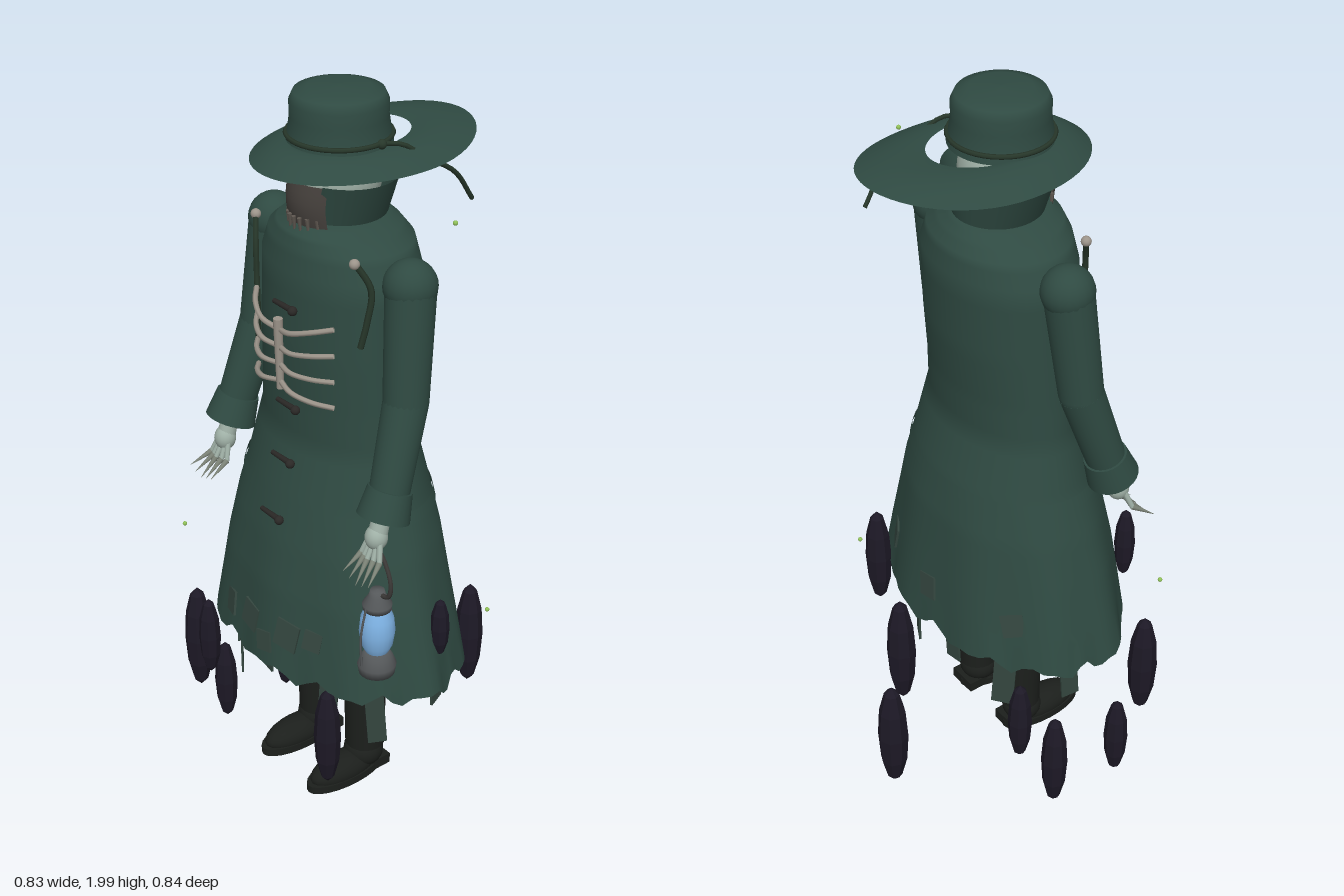
import * as THREE from 'three';
import { ParametricGeometry } from 'three/addons/geometries/ParametricGeometry.js';

const V = (x, y, z) => new THREE.Vector3(x, y, z);
const UP = V(0, 1, 0);
const mats = {};
function mat(color, flat = false) {
  const key = color + (flat ? 'f' : '');
  return mats[key] ??= new THREE.MeshStandardMaterial({ color, flatShading: flat, side: THREE.DoubleSide });
}
const CLOTH = 0x2f4a42, RAG = 0x34463f, DARK = 0x1c1f1c, BONE = 0x9c948a, SKIN = 0x9fb0a6;
const ROPE = 0x27372a, METAL = 0x55585a, SHADE = 0x1d1926, TOGGLE = 0x2a2826;

// Coat cross-sections from neck to hem: y, half width, half depth, centre z
const ROWS = [
  [1.70, 0.08, 0.09, 0.03], [1.69, 0.11, 0.125, 0.035], [1.67, 0.16, 0.145, 0.035], [1.64, 0.2, 0.16, 0.03],
  [1.58, 0.225, 0.17, 0.03], [1.4, 0.23, 0.168, 0.035], [1.25, 0.235, 0.158, 0.04], [1.15, 0.24, 0.155, 0.042],
  [1.0, 0.275, 0.195, 0.042], [0.88, 0.315, 0.22, 0.045], [0.75, 0.35, 0.238, 0.05], [0.62, 0.382, 0.252, 0.05],
  [0.5, 0.41, 0.265, 0.05],
];
function section(t) {
  const i = Math.min(Math.floor(t), ROWS.length - 2), f = t - i;
  return ROWS[i].map((a, k) => THREE.MathUtils.lerp(a, ROWS[i + 1][k], f));
}
// Point on the coat at angle a (0 = left, PI/2 = front)
function coatPoint(a, t, grow = 0) {
  const [y, rx, rz, cz] = section(t);
  const low = Math.max(0, (t - 8) / 4);
  const k = 1 + 0.022 * low * Math.sin(a * 9 + 1);
  const hem = t > 11 ? (t - 11) * (0.012 * Math.sin(a * 14) + 0.01 * Math.sin(a * 23 + 2)) : 0;
  return V(Math.cos(a) * (rx * k + grow), y + hem, cz + Math.sin(a) * (rz * k + grow));
}
function coatAt(a, y, grow) {
  let i = 0;
  while (i < ROWS.length - 2 && ROWS[i + 1][0] > y) i++;
  return coatPoint(a, i + (ROWS[i][0] - y) / (ROWS[i][0] - ROWS[i + 1][0]), grow);
}

export function createModel() {
  const root = new THREE.Group();
  root.name = 'hattedFigure';
  function add(name, geo, color, pos, parent = root, flat = false) {
    const m = new THREE.Mesh(geo, mat(color, flat));
    m.name = name;
    if (pos) m.position.copy(pos);
    parent.add(m);
    return m;
  }
  function group(name) {
    const g = new THREE.Group();
    g.name = name;
    root.add(g);
    return g;
  }
  const surface = (name, fn, nu, nv, color) =>
    add(name, new ParametricGeometry((u, v, p) => p.copy(fn(u, v)), nu, nv), color);
  function rod(name, a, b, ra, rb, color, parent, sides = 16) {
    const m = add(name, new THREE.CylinderGeometry(rb, ra, a.distanceTo(b), sides), color, a.clone().lerp(b, 0.5), parent);
    m.quaternion.setFromUnitVectors(UP, b.clone().sub(a).normalize());
    return m;
  }
  const ball = (name, p, r, color, parent, sy = 1) => {
    const m = add(name, new THREE.SphereGeometry(r, 20, 14), color, p, parent);
    m.scale.y = sy;
    return m;
  };
  const tube = (name, pts, r, color, parent) =>
    add(name, new THREE.TubeGeometry(new THREE.CatmullRomCurve3(pts), 16, r, 6), color, null, parent);
  const TAU = Math.PI * 2, FRONT = Math.PI / 2;

  // Long coat with wavy hem, and the lip where the skirt begins
  surface('coat', (u, v) => coatPoint(u * TAU, v * 12), 72, 36, CLOTH);
  surface('waistSeam', (u, v) => coatAt(u * TAU, 0.98 - v * 0.03, 0.004), 60, 1, CLOTH);

  // Stand-up collar, open at the front
  surface('collar', (u, v) => {
    const gap = 0.3 + 0.2 * v, a = FRONT + gap + u * (TAU - 2 * gap);
    return V(Math.cos(a) * (0.1 + 0.05 * v), 1.67 + 0.125 * v, 0.028 + Math.sin(a) * (0.11 + 0.02 * v));
  }, 40, 4, CLOTH);

  // Head and toothed mask
  ball('head', V(0, 1.79, 0.04), 0.108, SKIN, root, 1.1);
  surface('mask', (u, v) => {
    const a = FRONT + (u - 0.5) * 1.5;
    return V(Math.cos(a) * 0.11, 1.68 + 0.11 * v, 0.045 + Math.sin(a) * (0.115 + 0.01 * Math.sin(v * Math.PI)));
  }, 14, 5, 0x45403c);
  const teeth = group('maskTeeth');
  for (let i = -3; i <= 3; i++)
    rod('tooth', V(i * 0.019, 1.67, 0.17 - i * i * 0.003), V(i * 0.018, 1.71, 0.173 - i * i * 0.003), 0.003, 0.006, 0x5d564f, teeth, 6);

  // Hat: rounded crown, sweeping oval brim with a gap behind, cord and tail
  const crown = [[0.128, 1.865], [0.123, 1.89], [0.117, 1.93], [0.118, 1.965], [0.108, 1.987], [0.075, 1.997], [0, 2.0]];
  add('hatCrown', new THREE.LatheGeometry(crown.map(p => new THREE.Vector2(...p)), 40), CLOTH, V(0, 0, 0.035));
  surface('hatBrim', (u, v) => {
    const a = u * TAU, w = v < 0.5 ? v * 2 : 2 - v * 2;
    const s = Math.sin(a), c = Math.cos(a), L = THREE.MathUtils.lerp;
    const edgeY = 1.835 + (s < 0 ? 0.027 * s * s : -0.003 * s);
    const thick = 0.006 * Math.sin(Math.PI * w) * (v < 0.5 ? 1 : -1);
    return V(c * L(0.112, 0.22, w), L(1.873, edgeY, w ** 1.3) + thick, L(0, -0.04, w) + s * L(0.16, 0.297, w));
  }, 56, 16, CLOTH);
  const cord = add('hatCord', new THREE.TorusGeometry(0.126, 0.006, 6, 40), ROPE, V(0, 1.886, 0.035));
  cord.rotation.x = FRONT;
  ball('cordKnot', V(0.125, 1.885, 0.01), 0.012, ROPE);
  tube('cordTail', [V(0.12, 1.885, 0.01), V(0.145, 1.88, -0.035), V(0.16, 1.84, -0.09), V(0.175, 1.79, -0.17), V(0.165, 1.7, -0.24)], 0.006, ROPE);

  // Arms, clawed hands, legs and boots
  for (const s of [1, -1]) {
    const side = s > 0 ? 'left' : 'right';
    const P = (x, y, z) => V(s * x, y, z);
    const arm = group(side + 'Arm');
    ball('shoulder', P(0.262, 1.585, 0.035), 0.066, CLOTH, arm);
    rod('upperSleeve', P(0.264, 1.59, 0.035), P(0.287, 1.3, 0.065), 0.062, 0.056, CLOTH, arm, 24);
    ball('elbow', P(0.287, 1.3, 0.065), 0.056, CLOTH, arm);
    rod('lowerSleeve', P(0.287, 1.3, 0.065), P(0.312, 1.07, 0.138), 0.056, 0.05, CLOTH, arm, 24);
    rod('cuff', P(0.31, 1.095, 0.13), P(0.314, 1.025, 0.155), 0.056, 0.067, CLOTH, arm, 24);
    rod('wrist', P(0.312, 1.05, 0.15), P(0.313, 0.98, 0.172), 0.022, 0.025, SKIN, arm);
    ball('palm', P(0.313, 0.975, 0.175), 0.029, SKIN, arm, 1.15);
    for (let i = 0; i < 5; i++) {
      const f = i - 2, bend = P(0.315 + f * 0.017, 0.925, 0.205 - Math.abs(f) * 0.005);
      rod('finger', P(0.313 + f * 0.01, 0.97, 0.18), bend, 0.008, 0.007, SKIN, arm, 8);
      rod('claw', bend, P(0.325 + f * 0.024, 0.872 + Math.abs(f) * 0.009, 0.25), 0.008, 0.0005, 0x7d8478, arm, 8);
    }
    const leg = group(side + 'Leg');
    rod('trouser', P(0.103, 0.15, 0.035), P(0.103, 0.75, 0.035), 0.054, 0.062, DARK, leg, 20);
    ball('ankle', P(0.103, 0.125, 0.04), 0.055, DARK, leg, 0.9);
    const toe = ball('bootUpper', P(0.103, 0.095, 0.11), 0.05, DARK, leg, 0.85);
    toe.scale.z = 2.2;
    const sole = add('sole', new THREE.CylinderGeometry(0.052, 0.052, 0.022, 24), DARK, P(0.103, 0.077, 0.105), leg);
    sole.scale.z = 2.45;
    add('heel', new THREE.BoxGeometry(0.085, 0.03, 0.06), DARK, P(0.103, 0.083, 0.01), leg);
  }

  // Rib cage on the chest
  const ribs = group('ribCage');
  rod('sternum', V(0, 1.27, 0.222), V(0, 1.46, 0.225), 0.009, 0.012, BONE, ribs, 10);
  for (const s of [1, -1])
    for (let i = 0; i < 4; i++) {
      const yi = 1.43 - i * 0.046, yo = 1.472 - i * 0.07;
      tube('rib', [V(0, yi, 0.222), V(s * 0.055, yi + (yo - yi) * 0.3, 0.232), V(s * 0.11, yi + (yo - yi) * 0.7, 0.21), V(s * 0.152, yo, 0.175)], 0.007, BONE, ribs);
    }

  // Toggle fasteners down the front
  const toggles = group('toggles');
  for (const y of [1.49, 1.22, 1.075, 0.925]) {
    const z = coatAt(FRONT, y, 0.008).z;
    rod('togglePeg', V(-0.035, y, z), V(0.04, y, z), 0.006, 0.008, TOGGLE, toggles, 8);
    ball('toggleBead', V(0.04, y, z + 0.002), 0.012, TOGGLE, toggles);
  }

  // Ropes hanging from the shoulders
  const onFront = (x, y) => V(x, y, 0.035 + 0.178 * Math.sqrt(Math.max(0, 1 - (x / 0.24) ** 2)));
  tube('rightRope', [[-0.19, 1.65], [-0.165, 1.58], [-0.16, 1.5], [-0.15, 1.42], [-0.16, 1.33]].map(p => onFront(...p)), 0.008, ROPE);
  tube('leftRope', [[0.19, 1.65], [0.215, 1.58], [0.21, 1.5], [0.2, 1.43]].map(p => onFront(...p)), 0.008, ROPE);
  for (const x of [-0.19, 0.19]) ball('ropeKnot', onFront(x, 1.645), 0.013, BONE);

  // Ragged strips under the hem: angle, top y, bottom y, width
  const rags = group('rags');
  [[2.2, 0.58, 0.3, 0.05], [2.45, 0.55, 0.36, 0.045], [1.7, 0.56, 0.42, 0.07], [0.55, 0.58, 0.32, 0.05], [1.0, 0.55, 0.4, 0.05],
   [3.3, 0.58, 0.35, 0.05], [4.0, 0.6, 0.3, 0.06], [4.6, 0.58, 0.36, 0.05], [5.2, 0.6, 0.28, 0.055], [5.9, 0.56, 0.38, 0.05]]
    .forEach(([a, top, bottom, w], i) => {
      const p = coatAt(a, top, -0.05);
      const strip = add('rag', new THREE.BoxGeometry(w, top - bottom, 0.006), RAG, V(p.x, (top + bottom) / 2, p.z), rags);
      strip.rotation.set(0, FRONT - a, i % 2 ? 0.07 : -0.06);
    });
  // Patches and torn flaps on the skirt: angle, y, size
  [[1.3, 0.62, 0.07], [1.5, 0.57, 0.05], [1.68, 0.61, 0.065], [1.95, 0.59, 0.06], [1.08, 0.63, 0.05], [4.7, 0.62, 0.06], [5.3, 0.64, 0.06], [3.9, 0.63, 0.06]]
    .forEach(([a, y, w], i) => {
      const patch = add('patch', new THREE.BoxGeometry(w, w * 1.1, 0.006), RAG, coatAt(a, y, 0.003), rags);
      patch.rotation.set(-0.15, FRONT - a, i % 2 ? 0.2 : -0.15, 'YXZ');
    });

  // Lantern hanging from the left hand
  const lamp = group('lantern');
  lamp.position.set(0.325, 0, 0.18);
  const turned = (name, pts, color) => add(name, new THREE.LatheGeometry(pts.map(p => new THREE.Vector2(...p)), 20), color, null, lamp);
  turned('lanternBase', [[0, 0.585], [0.046, 0.585], [0.05, 0.61], [0.04, 0.635], [0.03, 0.65], [0, 0.65]], METAL);
  turned('lanternGlass', [[0.028, 0.645], [0.04, 0.67], [0.046, 0.71], [0.042, 0.75], [0.028, 0.785]], 0x7fb4e6);
  turned('lanternCap', [[0, 0.775], [0.036, 0.775], [0.038, 0.79], [0.022, 0.815], [0.018, 0.83], [0, 0.832]], METAL);
  for (const s of [1, -1])
    tube('lanternWire', [V(0, 0.62, s * 0.05), V(0, 0.71, s * 0.052), V(0, 0.79, s * 0.036)], 0.003, METAL, lamp);
  tube('lanternHandle', [V(0.01, 0.82, 0), V(0.042, 0.83, 0), V(0.05, 0.87, 0), V(0.03, 0.92, 0), V(0, 0.955, 0)], 0.006, 0x3c3a38, lamp);

  // Floating dark spindles: x, z, bottom, top, radius
  const shades = group('darkSpindles');
  [[-0.085, -0.38, 0.06, 0.41, 0.042], [0.28, -0.175, 0.36, 0.67, 0.037], [0.38, 0.02, 0.59, 0.76, 0.025], [-0.37, -0.05, 0.02, 0.33, 0.036],
   [-0.37, 0.165, 0.01, 0.27, 0.033], [-0.353, 0.262, 0.18, 0.51, 0.04], [-0.107, 0.39, 0.43, 0.66, 0.029], [0.223, 0.26, 0.2, 0.5, 0.036],
   [0.015, -0.28, 0.24, 0.59, 0.04], [-0.28, -0.1, 0.15, 0.41, 0.033]].forEach(([x, z, lo, hi, r]) => {
    const m = add('spindle', new THREE.SphereGeometry(1, 8, 6), SHADE, V(x, (lo + hi) / 2, z), shades, true);
    m.scale.set(r, (hi - lo) / 2, r);
  });

  // Tiny drifting spores
  const spores = group('spores');
  for (const p of [[0.355, 1.76, -0.015], [0.3, 0.58, -0.22], [-0.407, 0.69, 0.255]])
    ball('spore', V(...p), 0.006, 0x8fc058, spores);
  return root;
}
